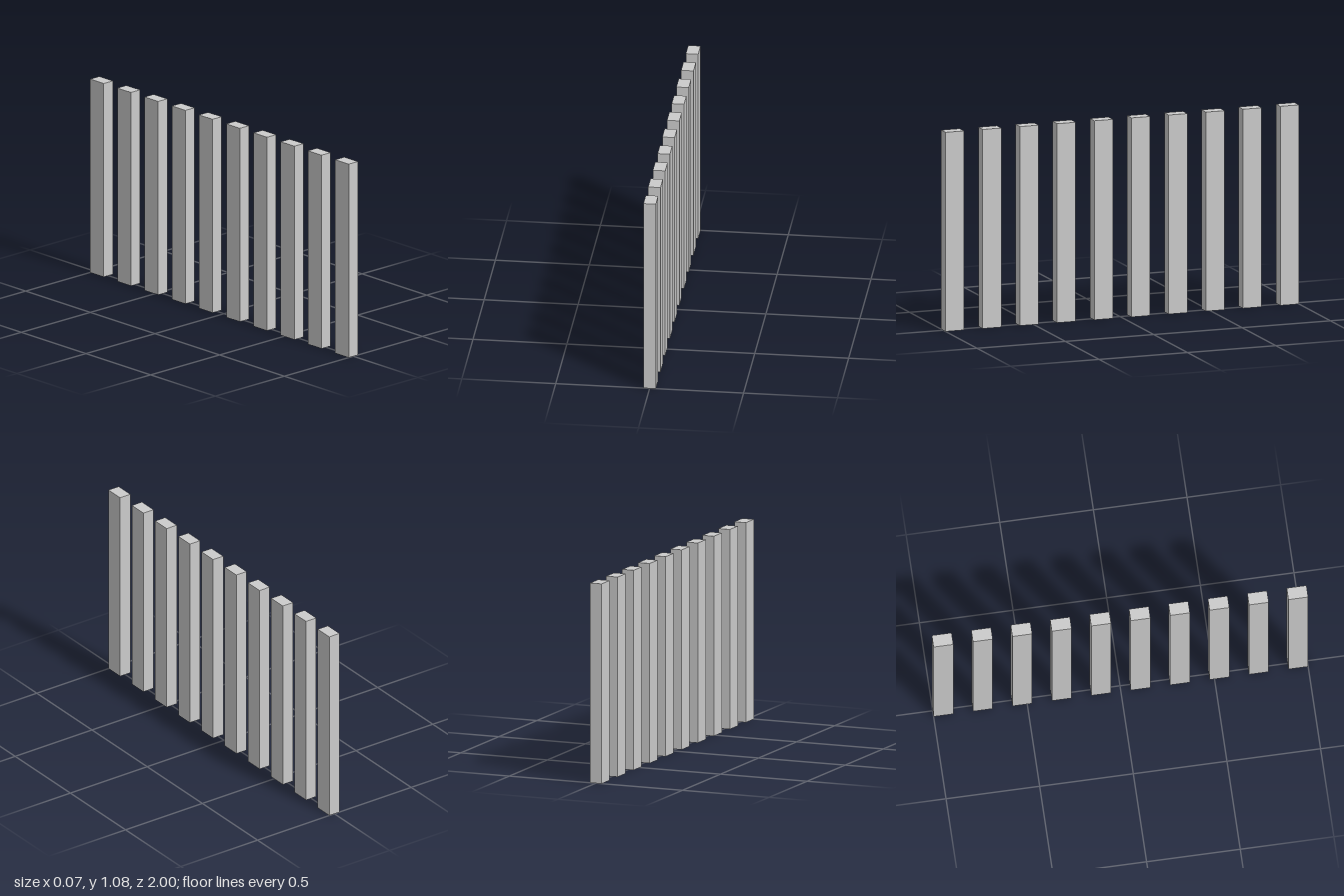
import * as THREE from 'three';

// A straight row of ten upright slats, with gaps as wide as the slats
export function createModel() {
  const group = new THREE.Group();
  group.name = 'slatScreen';

  const count = 10;
  const length = 2;
  const depth = length / (count * 2 - 1);
  const height = 1.075;
  const thickness = 0.066;

  const material = new THREE.MeshStandardMaterial({ color: 0xcccccc, flatShading: true });
  const geometry = new THREE.BoxGeometry(thickness, height, depth);

  for (let i = 0; i < count; i++) {
    const slat = new THREE.Mesh(geometry, material);
    slat.name = `slat${i + 1}`;
    slat.position.set(0, height / 2, (length - depth) / 2 - i * depth * 2);
    group.add(slat);
  }
  return group;
}
